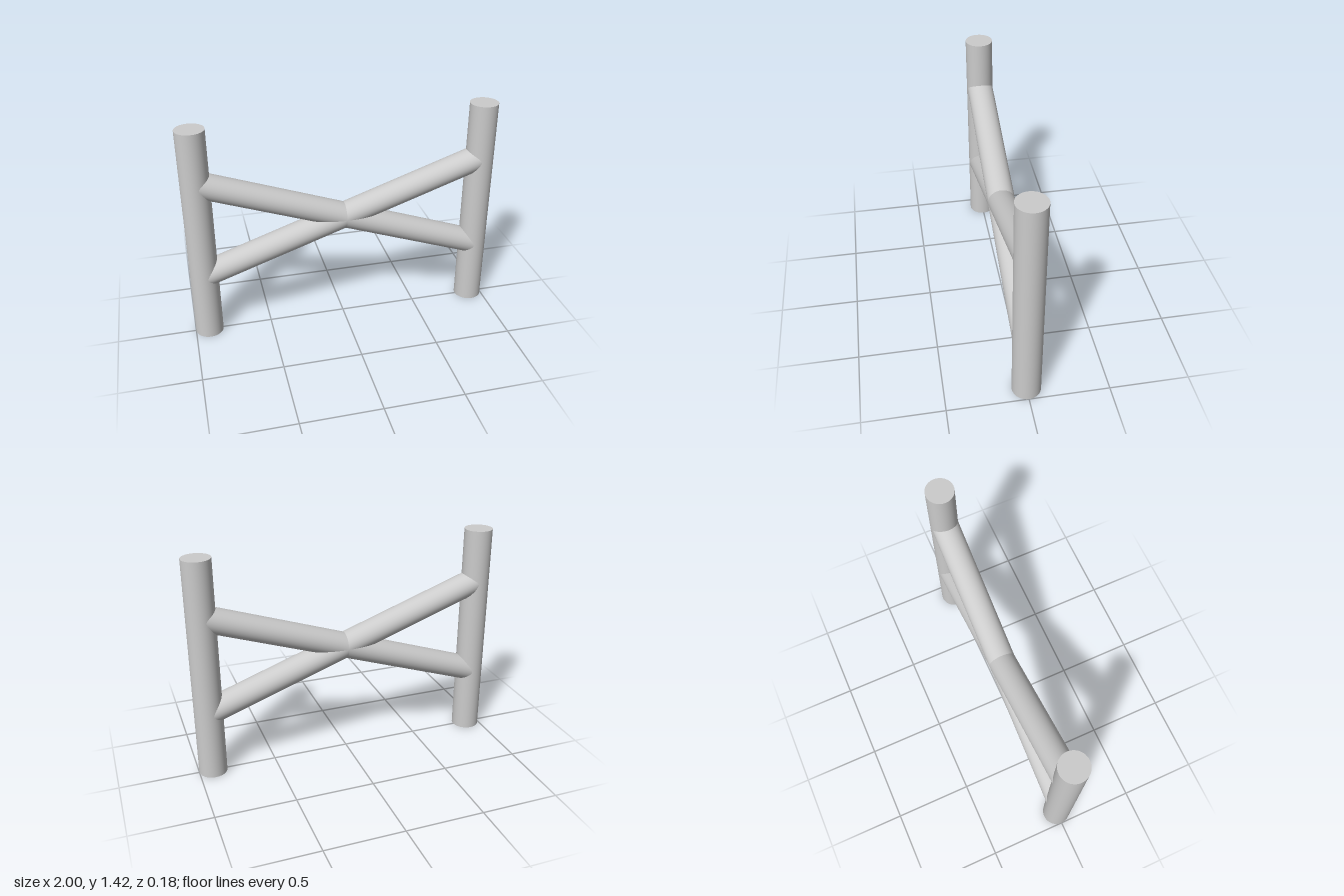
import * as THREE from 'three';

const HEIGHT = 1.425, POST_R = 0.09, POST_X = 0.91;

export function createModel() {
  const group = new THREE.Group();
  const material = new THREE.MeshStandardMaterial({ color: 0xcccccc });

  // Two upright round posts
  for (const [side, name] of [[1, 'leftPost'], [-1, 'rightPost']]) {
    const post = new THREE.Mesh(new THREE.CylinderGeometry(POST_R, POST_R, HEIGHT, 48), material);
    post.name = name;
    post.position.set(side * POST_X, HEIGHT / 2, 0);
    group.add(post);
  }

  // Slightly flattened round bar running between the post axes
  function addBar(name, yRight, yLeft) {
    const a = new THREE.Vector3(-POST_X, yRight, 0);
    const b = new THREE.Vector3(POST_X, yLeft, 0);
    const dir = b.clone().sub(a);
    const geometry = new THREE.CylinderGeometry(1, 1, dir.length(), 48);
    geometry.scale(0.081, 1, 0.088);
    const bar = new THREE.Mesh(geometry, material);
    bar.name = name;
    bar.position.copy(a).add(b).multiplyScalar(0.5);
    bar.quaternion.setFromUnitVectors(new THREE.Vector3(0, 1, 0), dir.normalize());
    group.add(bar);
  }

  // Crossed braces
  addBar('fallingBrace', 1.073, 0.425);
  addBar('risingBrace', 0.43, 1.055);

  return group;
}
